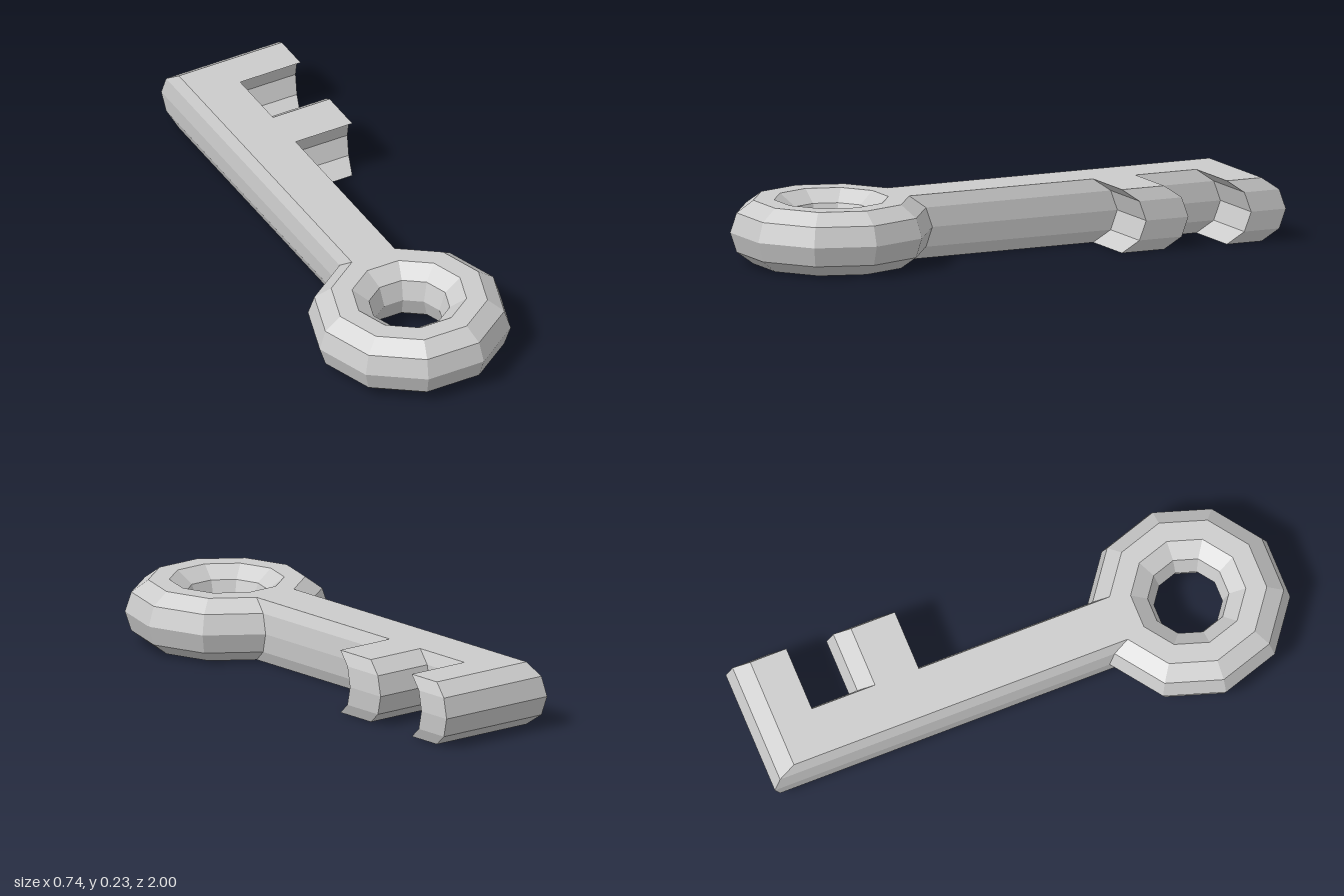
import * as THREE from 'three';

const SIDES = 10;           // sides of the bow and of its tube
const RING = 0.246;         // bow centre-line radius
const TUBE = 0.1225;        // tube radius
const BOW_Z = 0.65;
const STEP = (Math.PI * 2) / SIDES;
const MID_Y = TUBE * Math.sin(2 * STEP);

// Radius and height of each line around the tube
const tubeRadius = (k) => RING + TUBE * Math.cos(k * STEP);
const tubeHeight = (k) => MID_Y + TUBE * Math.sin(k * STEP);

function quad(out, a, b, c, d) {
  out.push(...a, ...b, ...c, ...a, ...c, ...d);
}

function makeMesh(name, positions) {
  const geometry = new THREE.BufferGeometry();
  geometry.setAttribute('position', new THREE.Float32BufferAttribute(positions, 3));
  geometry.computeVertexNormals();
  const material = new THREE.MeshStandardMaterial({ color: 0xcccccc, flatShading: true });
  const mesh = new THREE.Mesh(geometry, material);
  mesh.name = name;
  return mesh;
}

// Ten-sided ring, left open where the shaft leaves it
function makeBow() {
  const out = [];
  const point = (i, k) => {
    const r = tubeRadius(k);
    return [r * Math.cos(i * STEP), tubeHeight(k), BOW_Z + r * Math.sin(i * STEP)];
  };
  for (let i = 0; i < SIDES; i++) {
    for (let k = -2; k < SIDES - 2; k++) {
      if (i === 7 && k < 2) continue;
      quad(out, point(i, k), point(i, k + 1), point(i + 1, k + 1), point(i + 1, k));
    }
  }
  return makeMesh('bow', out);
}

// Outline of shaft and teeth (x, z) at one level of the rounded side
function bladeOutline(k) {
  const r = tubeRadius(k);
  const x = r * Math.cos(2 * STEP);
  const root = BOW_Z - r * Math.sin(2 * STEP);
  const s = RING + TUBE - r;
  return [
    [-x, root], [-x, -1 + s],
    [x + 0.248, -1 + s], [x + 0.248, -0.86 + s], [x, -0.86 + s],       // end tooth
    [x, -0.615 + s], [x + 0.233, -0.615 + s], [x + 0.233, -0.445 + s], // inner tooth
    [x, -0.445 + s], [x, root],
  ];
}

// Shaft and teeth: stacked outlines joined by walls, with flat caps
function makeBlade() {
  const out = [];
  for (let k = -2; k < 2; k++) {
    const low = bladeOutline(k).map(([x, z]) => [x, tubeHeight(k), z]);
    const high = bladeOutline(k + 1).map(([x, z]) => [x, tubeHeight(k + 1), z]);
    for (let i = 0; i < low.length - 1; i++) quad(out, low[i], high[i], high[i + 1], low[i + 1]);
  }
  for (const side of [1, -1]) {
    const points = bladeOutline(2).map(([x, z]) => new THREE.Vector2(x, -side * z));
    const cap = new THREE.ShapeGeometry(new THREE.Shape(points)).toNonIndexed();
    cap.rotateX((-side * Math.PI) / 2);
    cap.translate(0, side > 0 ? 2 * MID_Y : 0, 0);
    out.push(...cap.attributes.position.array);
  }
  return makeMesh('shaftAndTeeth', out);
}

export function createModel() {
  const key = new THREE.Group();
  key.name = 'key';
  key.add(makeBow(), makeBlade());
  return key;
}
